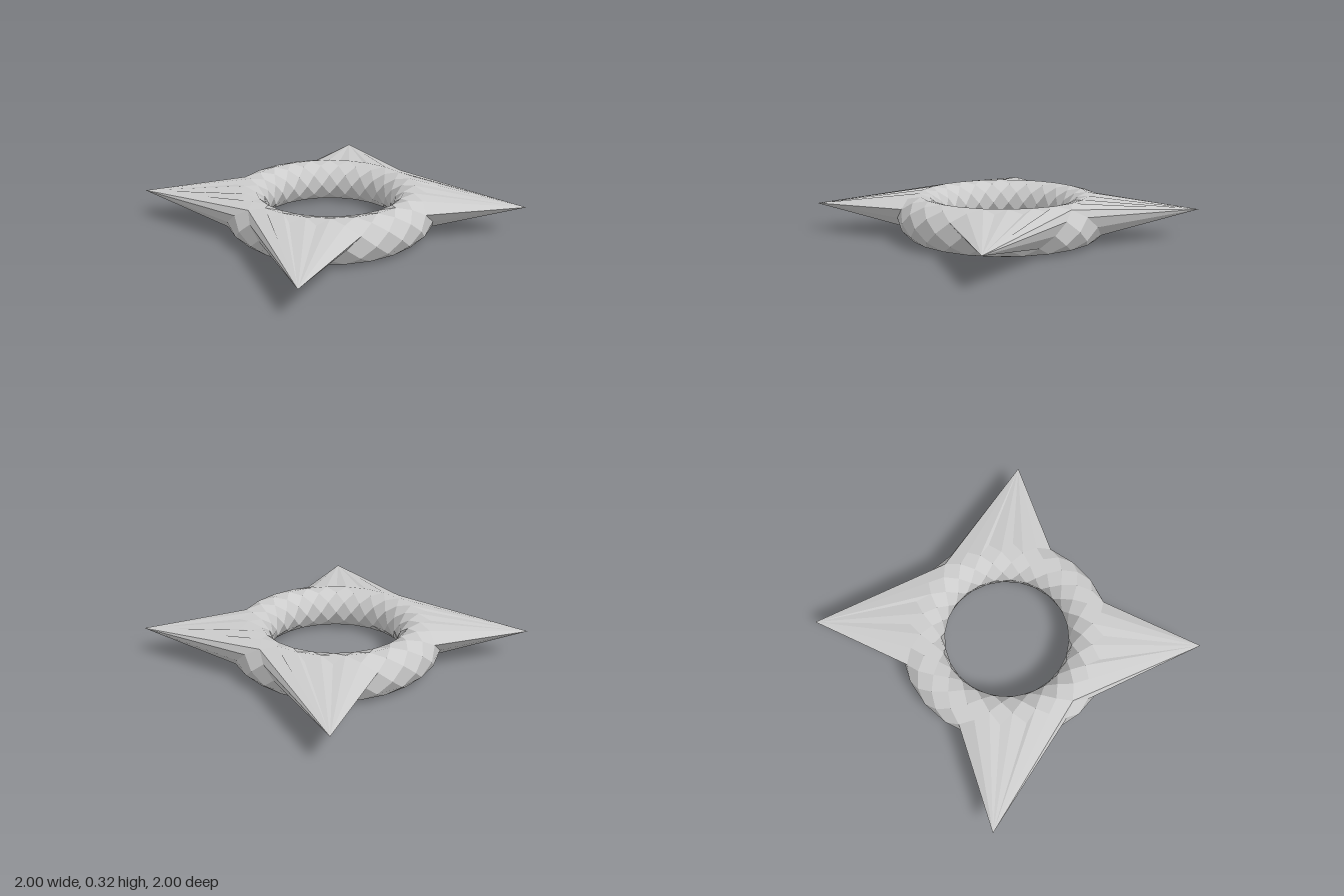
import * as THREE from 'three';

const ROWS = 12, STEPS = 48;          // rows round the tube, half-steps round the ring
const RING = 0.62, TUBE = 0.16;       // ring radius, tube radius
const TIP = 1, TIP_Y = 0.22;          // spike tip position

const wrap = (n, m) => ((n % m) + m) % m;

// Lattice point: row i goes up round the tube, step j goes round the ring from +z to +x
function point([i, j]) {
  const a = (i * 2 * Math.PI) / ROWS, t = (j * 2 * Math.PI) / STEPS;
  const r = RING + TUBE * Math.cos(a);
  return new THREE.Vector3(r * Math.sin(t), TUBE + TUBE * Math.sin(a), r * Math.cos(t));
}

// Diamonds that are pulled out into spikes, mirrored into all four quadrants
function isSpike(i, j) {
  const half = Math.min(j, STEPS - j);
  const f = Math.min(half, STEPS / 2 - half);
  const range = [[5, 9], [4, 10], [5, 11]][i];
  return !!range && f >= range[0] && f <= range[1];
}

// Faces with one flat normal each; four-cornered faces are split on the first diagonal
function facetMesh(faces, name) {
  const pos = [], nor = [];
  for (const f of faces) {
    const last = f[f.length - 1];
    const n = f.length === 4
      ? f[2].clone().sub(f[0]).cross(f[3].clone().sub(f[1]))
      : f[1].clone().sub(f[0]).cross(last.clone().sub(f[0]));
    n.normalize();
    for (let k = 1; k < f.length - 1; k++) {
      for (const p of [f[0], f[k], f[k + 1]]) {
        pos.push(p.x, p.y, p.z);
        nor.push(n.x, n.y, n.z);
      }
    }
  }
  const g = new THREE.BufferGeometry();
  g.setAttribute('position', new THREE.Float32BufferAttribute(pos, 3));
  g.setAttribute('normal', new THREE.Float32BufferAttribute(nor, 3));
  const mesh = new THREE.Mesh(g, new THREE.MeshStandardMaterial({ color: 0xcccccc }));
  mesh.name = name;
  return mesh;
}

export function createModel() {
  const group = new THREE.Group();
  group.name = 'spikedRing';

  // Sort the diamonds into the ring and four spike patches
  const ring = [];
  const patches = { frontLeft: [], backLeft: [], backRight: [], frontRight: [] };
  const names = Object.keys(patches);
  for (let i = 0; i < ROWS; i++) {
    for (let j = 0; j < STEPS; j++) {
      if ((i + j) % 2 === 0) continue;
      const quad = [[i, j - 1], [i - 1, j], [i, j + 1], [i + 1, j]]
        .map(([a, b]) => [wrap(a, ROWS), wrap(b, STEPS)]);
      if (isSpike(i, j)) patches[names[Math.floor(j / 12)]].push(quad);
      else ring.push(quad.map(point));
    }
  }
  group.add(facetMesh(ring, 'ring'));

  // Each spike is a fan from the zigzag rim of its patch to the tip
  for (const name of names) {
    const edges = new Map();
    for (const q of patches[name]) {
      q.forEach((a, k) => edges.set(`${a}|${q[(k + 1) % 4]}`, [a, q[(k + 1) % 4]]));
    }
    const tip = new THREE.Vector3(
      name.endsWith('Left') ? TIP : -TIP, TIP_Y, name.startsWith('front') ? TIP : -TIP);
    const fan = [];
    for (const [a, b] of edges.values()) {
      if (!edges.has(`${b}|${a}`)) fan.push([point(a), point(b), tip]);
    }
    group.add(facetMesh(fan, name + 'Spike'));
  }
  return group;
}
